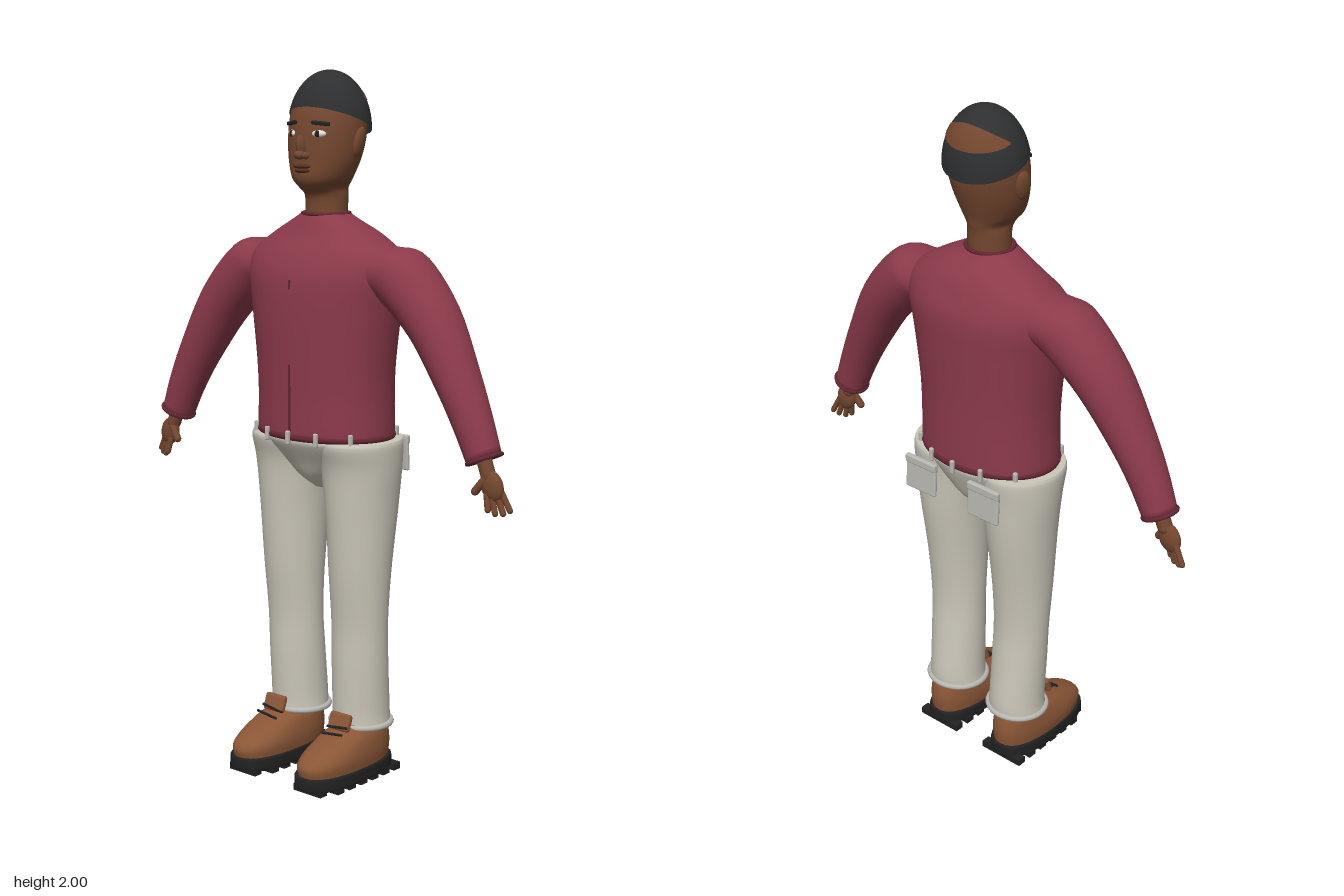
import * as THREE from 'three';
import { ParametricGeometry } from 'three/addons/geometries/ParametricGeometry.js';
import { RoundedBoxGeometry } from 'three/addons/geometries/RoundedBoxGeometry.js';

const material = (name, color, side = THREE.FrontSide) => {
  const m = new THREE.MeshStandardMaterial({ color, side });
  m.name = name;
  return m;
};

// Smooth closed skin through elliptical sections [x, y, z, tilt, rx, rz], listed bottom to top
function loft(rows, power = 1, sides = 32, steps = 5) {
  const smooth = (k) => new THREE.CatmullRomCurve3(
    rows.map((r) => new THREE.Vector3(r[k], r[k + 1], r[k + 2])), false, 'catmullrom');
  const path = smooth(0), size = smooth(3), n = (rows.length - 1) * steps;
  const pos = [], index = [];
  const bend = (v) => Math.sign(v) * Math.abs(v) ** power;
  for (let i = 0; i <= n; i++) {
    const p = path.getPoint(i / n), s = size.getPoint(i / n);
    for (let j = 0; j < sides; j++) {
      const t = (j / sides) * Math.PI * 2, u = bend(Math.cos(t)) * s.y;
      pos.push(p.x + u * Math.cos(s.x), p.y + u * Math.sin(s.x), p.z + bend(Math.sin(t)) * s.z);
      if (i === n) continue;
      const a = i * sides + j, b = i * sides + (j + 1) % sides;
      index.push(a, a + sides, b, b, a + sides, b + sides);
    }
  }
  // end caps
  const base = pos.length / 3, top = n * sides;
  pos.push(...path.getPoint(0).toArray(), ...path.getPoint(1).toArray());
  for (let j = 0; j < sides; j++) {
    const k = (j + 1) % sides;
    index.push(base, j, k, base + 1, top + k, top + j);
  }
  const g = new THREE.BufferGeometry();
  g.setAttribute('position', new THREE.Float32BufferAttribute(pos, 3));
  g.setIndex(index);
  g.computeVertexNormals();
  return g;
}

// Horizontal sections given as [y, half width, front z, back z]
const rings = (cx, rows, power) => loft(
  rows.map(([y, w, f, b]) => [cx, y, (f + b) / 2, 0, w, (f - b) / 2]), power);

export function createModel() {
  const skin = material('skin', 0x74472f);
  const lip = material('lips', 0x55301f);
  const sweater = material('sweater', 0x8c3a4a);
  const seam = material('sweater trim', 0x632632);
  const trousers = material('trousers', 0xcac6b9);
  const pale = material('pocket and loops', 0xbab8b2);
  const leather = material('shoe leather', 0x8a5636);
  const dark = material('dark rubber and hair', 0x222222);
  const cloth = material('cap cloth', 0x2e2f30, THREE.DoubleSide);
  const white = material('eye white', 0xe6e2da);
  const patchSkin = skin;

  const root = new THREE.Group();
  root.name = 'standingMan';
  const add = (parent, name, geo, mat, p = [0, 0, 0], r = [0, 0, 0], s = [1, 1, 1]) => {
    const m = new THREE.Mesh(geo, mat);
    m.name = name;
    m.position.set(...p);
    m.rotation.set(...r);
    m.scale.set(...s);
    parent.add(m);
    return m;
  };
  const ball = new THREE.SphereGeometry(1, 20, 14);
  const hoop = (parent, name, mat, p, rx, rz, tube, tilt = 0) => {
    const g = new THREE.TorusGeometry(1, tube / rx, 8, 36).rotateX(Math.PI / 2).scale(rx, rx, rz);
    add(parent, name, g, mat, p, [0, 0, tilt]);
  };
  const finger = (parent, name, a, b, r) => {
    const A = new THREE.Vector3(...a), B = new THREE.Vector3(...b), d = B.clone().sub(A);
    const m = add(parent, name, new THREE.CapsuleGeometry(r, d.length(), 4, 10), skin);
    m.position.copy(A).add(B).multiplyScalar(0.5);
    m.quaternion.setFromUnitVectors(new THREE.Vector3(0, 1, 0), d.normalize());
  };

  // Sweater body, collar, hem and front seam
  add(root, 'sweaterBody', rings(0, [
    [0.985, 0.205, 0.11, -0.185], [1.0, 0.212, 0.118, -0.19], [1.1, 0.21, 0.118, -0.19],
    [1.2, 0.215, 0.12, -0.19], [1.35, 0.235, 0.122, -0.195], [1.44, 0.252, 0.115, -0.195],
    [1.5, 0.245, 0.09, -0.175], [1.55, 0.18, 0.058, -0.15], [1.595, 0.095, 0.036, -0.11],
    [1.61, 0.068, 0.028, -0.1]], 0.92), sweater);
  hoop(root, 'collar', seam, [0, 1.608, -0.036], 0.066, 0.064, 0.006);
  hoop(root, 'hem', seam, [0, 0.995, -0.036], 0.211, 0.155, 0.009);
  add(root, 'frontSeam', new THREE.BoxGeometry(0.005, 0.2, 0.006), seam, [0, 1.1, 0.119]);
  add(root, 'seamMark', new THREE.BoxGeometry(0.005, 0.025, 0.006), seam, [0, 1.42, 0.118]);

  // Seat of the trousers
  add(root, 'trouserSeat', rings(0, [
    [0.835, 0.03, 0.0, -0.1], [0.87, 0.075, 0.045, -0.14], [0.92, 0.15, 0.075, -0.165],
    [0.97, 0.215, 0.105, -0.185], [0.988, 0.215, 0.108, -0.187]]), trousers);
  for (const x of [-0.175, -0.09, 0, 0.09, 0.175]) {
    const z = 0.163 * Math.sqrt(1 - (x / 0.222) ** 2);
    for (const side of [1, -1])
      add(root, 'beltLoop', new RoundedBoxGeometry(0.013, 0.04, 0.012, 2, 0.004), pale, [x, 0.995, -0.036 + side * z]);
  }

  // Head and neck
  const head = new THREE.Group();
  head.name = 'head';
  root.add(head);
  add(head, 'headAndNeck', rings(0, [
    [1.58, 0.06, 0.022, -0.095], [1.655, 0.059, 0.024, -0.1], [1.68, 0.06, 0.052, -0.105],
    [1.705, 0.08, 0.068, -0.11], [1.75, 0.1, 0.068, -0.125], [1.8, 0.11, 0.066, -0.14],
    [1.85, 0.113, 0.06, -0.146], [1.9, 0.107, 0.046, -0.14], [1.94, 0.083, 0.018, -0.12],
    [1.965, 0.05, -0.01, -0.09]]), skin);
  add(head, 'nose', ball, skin, [0, 1.79, 0.067], [0.25, 0, 0], [0.014, 0.035, 0.017]);
  add(head, 'noseTip', ball, skin, [0, 1.771, 0.074], [0, 0, 0], [0.016, 0.013, 0.016]);
  add(head, 'upperLip', ball, lip, [0, 1.74, 0.066], [0, 0, 0], [0.031, 0.007, 0.011]);
  add(head, 'lowerLip', ball, lip, [0, 1.729, 0.065], [0, 0, 0], [0.027, 0.008, 0.011]);

  // Cap with a rim that drops toward the back, and the opening behind
  const capPoint = (az, y, grow, target) => {
    const r = grow * Math.sqrt(Math.max(0, 1 - (Math.max(0, y - 1.84) / 0.16) ** 2));
    target.set(0.124 * r * Math.sin(az), y, -0.05 + 0.106 * r * Math.cos(az));
  };
  add(head, 'cap', new ParametricGeometry((u, v, t) => {
    const az = u * Math.PI * 2, rim = 1.86 + 0.04 * Math.cos(az);
    capPoint(az, rim + (2 - rim) * Math.sin(v * Math.PI / 2), 1, t);
  }, 40, 18), cloth);
  add(head, 'capOpening', new ParametricGeometry((u, v, t) => {
    const s = u * 2 - 1, low = 1.902 + 0.022 * s * s, high = 1.965 - 0.036 * s * s;
    capPoint(Math.PI + s * 1.3, low + (high - low) * v, 1.015, t);
  }, 24, 8), patchSkin);
  head.children.at(-1).material = skin;

  // Everything that exists on both sides
  for (const side of [1, -1]) {
    const half = new THREE.Group();
    half.name = side > 0 ? 'leftSide' : 'rightSide';
    half.scale.x = side;
    root.add(half);

    // Face details and ear
    add(half, 'eye', ball, white, [0.048, 1.828, 0.049], [0, 0.4, 0], [0.021, 0.01, 0.01]);
    add(half, 'pupil', ball, dark, [0.047, 1.828, 0.055], [0, 0.35, 0], [0.009, 0.009, 0.006]);
    add(half, 'eyebrow', new RoundedBoxGeometry(0.052, 0.011, 0.012, 2, 0.004), dark, [0.052, 1.856, 0.048], [0, 0.45, -0.1]);
    add(half, 'nostril', ball, skin, [0.015, 1.769, 0.066], [0, 0, 0], [0.011, 0.01, 0.013]);
    add(half, 'ear', ball, skin, [0.115, 1.805, -0.04], [-0.15, 0.2, -0.15], [0.013, 0.043, 0.024]);

    // Sleeve and cuff
    add(half, 'sleeve', loft([
      [0.572, 0.988, -0.012, 0.45, 0.049, 0.049], [0.53, 1.085, -0.014, 0.45, 0.055, 0.057],
      [0.475, 1.19, -0.02, 0.52, 0.063, 0.067], [0.385, 1.335, -0.032, 0.7, 0.077, 0.082],
      [0.275, 1.442, -0.04, 0.88, 0.087, 0.091], [0.215, 1.458, -0.042, 1.2, 0.075, 0.09],
      [0.14, 1.465, -0.042, 1.4, 0.07, 0.08]]), sweater);
    hoop(half, 'cuff', seam, [0.572, 0.99, -0.012], 0.048, 0.048, 0.006, 0.4);

    // Hand
    finger(half, 'wrist', [0.565, 1.01, -0.01], [0.588, 0.95, -0.008], 0.021);
    add(half, 'palm', ball, skin, [0.603, 0.922, -0.006], [0, 0, 0.35], [0.034, 0.043, 0.019]);
    [[0.654, 0.862], [0.638, 0.853], [0.618, 0.851], [0.6, 0.86]].forEach(([x, y], i) =>
      finger(half, 'finger', [0.628 - i * 0.012, 0.91 - i * 0.004, -0.012 + i * 0.005], [x, y, -0.016 + i * 0.008], 0.0085));
    finger(half, 'thumb', [0.585, 0.94, 0.002], [0.558, 0.904, 0.008], 0.011);

    // Trouser leg, turn-up and back pocket
    add(half, 'trouserLeg', loft([
      [0.118, 0.15, -0.055, 0, 0.085, 0.084], [0.118, 0.2, -0.055, 0, 0.082, 0.084],
      [0.12, 0.33, -0.047, 0, 0.083, 0.08], [0.122, 0.45, -0.042, 0, 0.084, 0.077],
      [0.124, 0.6, -0.04, 0, 0.089, 0.09], [0.125, 0.78, -0.046, 0, 0.1, 0.108],
      [0.123, 0.9, -0.046, 0, 0.114, 0.117], [0.12, 0.968, -0.04, 0, 0.121, 0.13],
      [0.12, 0.988, -0.04, 0, 0.117, 0.126]]), trousers);
    hoop(half, 'turnUp', pale, [0.118, 0.155, -0.055], 0.088, 0.084, 0.009);
    add(half, 'backPocket', new RoundedBoxGeometry(0.11, 0.098, 0.012, 2, 0.005), pale, [0.115, 0.922, -0.2], [0.06, 0, 0]);
    add(half, 'pocketFlap', new RoundedBoxGeometry(0.112, 0.025, 0.016, 2, 0.005), pale, [0.115, 0.964, -0.2]);

    // Shoe
    add(half, 'shoeUpper', rings(0.125, [
      [0.045, 0.074, 0.2, -0.14], [0.075, 0.077, 0.203, -0.144], [0.1, 0.075, 0.175, -0.144],
      [0.13, 0.068, 0.11, -0.138], [0.15, 0.058, 0.05, -0.13], [0.165, 0.05, 0.03, -0.12]], 0.85), leather);
    add(half, 'shoeSole', rings(0.125, [
      [0.012, 0.076, 0.203, -0.143], [0.018, 0.079, 0.208, -0.147], [0.045, 0.079, 0.208, -0.147],
      [0.05, 0.076, 0.204, -0.144]], 0.75), dark);
    for (let i = 0; i < 7; i++)
      add(half, 'tread', new THREE.BoxGeometry(i === 6 ? 0.1 : 0.145, 0.02, 0.028), dark, [0.125, 0.01, -0.125 + i * 0.05]);
    add(half, 'shoeTongue', new RoundedBoxGeometry(0.074, 0.05, 0.02, 3, 0.008), leather, [0.125, 0.175, 0.046], [-0.35, 0, 0]);
    for (const [y, z] of [[0.162, 0.06], [0.148, 0.083]])
      add(half, 'lace', new THREE.CapsuleGeometry(0.004, 0.07, 3, 8), dark, [0.125, y, z], [0, 0, Math.PI / 2 + 0.12]);
  }
  return root;
}
